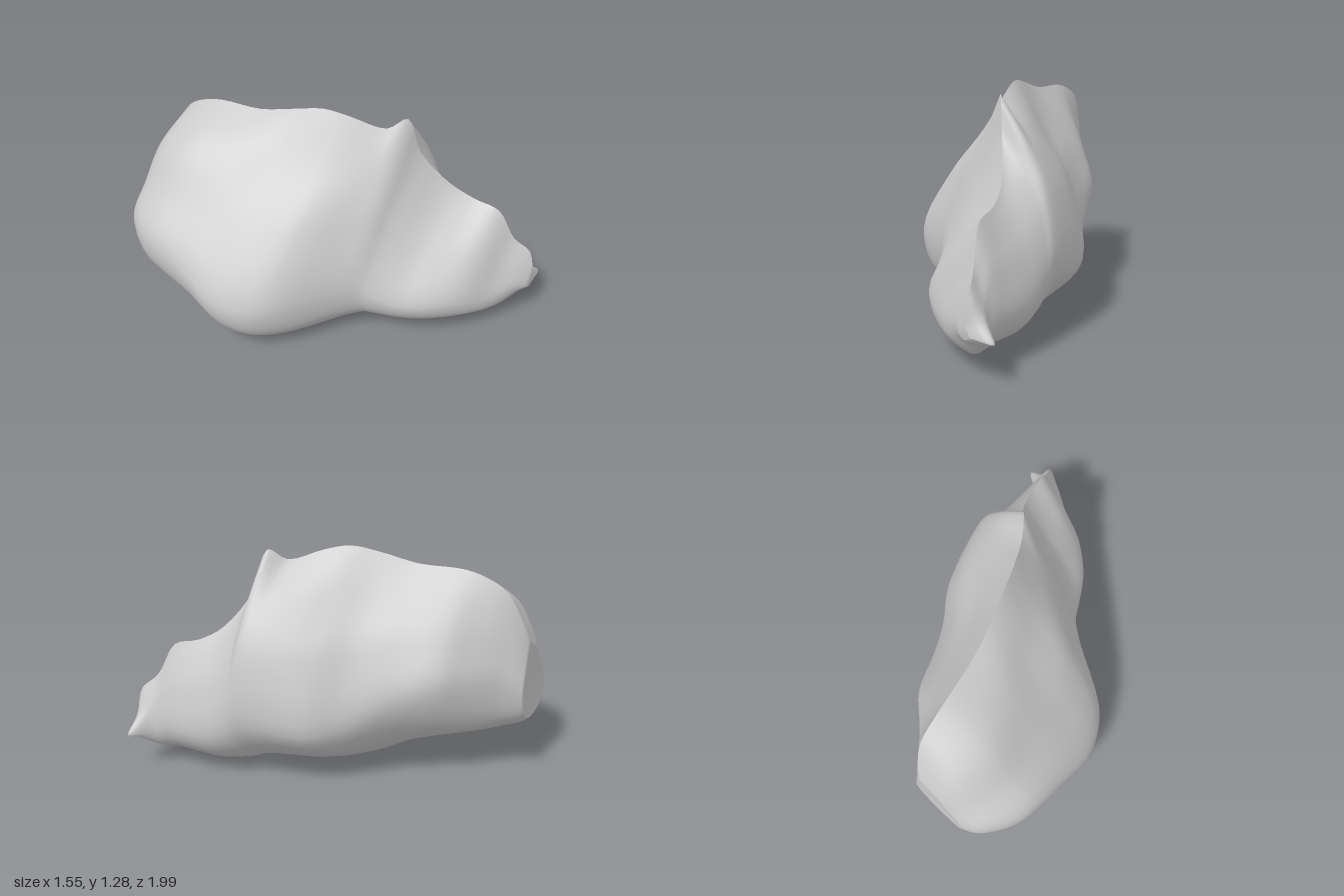
import * as THREE from 'three';

// Stations along z: [z, ridge x, ridge y, left x, right x, underside x, underside y]
const STATIONS = [
  [-0.99, -0.27, 0.80, -0.54, -0.21, -0.36, 0.34],
  [-0.95, -0.23, 0.93, -0.62, -0.18, -0.38, 0.30],
  [-0.87, -0.19, 1.09, -0.69, -0.12, -0.40, 0.26],
  [-0.75, -0.17, 1.16, -0.75, 0.00, -0.40, 0.22],
  [-0.63, -0.15, 1.19, -0.77, 0.13, -0.38, 0.20],
  [-0.40, -0.10, 1.20, -0.77, 0.25, -0.36, 0.13],
  [-0.20, -0.04, 1.25, -0.765, 0.38, -0.36, 0.03],
  [-0.05, 0.02, 1.28, -0.71, 0.50, -0.31, 0.00],
  [0.08, 0.08, 1.255, -0.60, 0.55, -0.16, 0.01],
  [0.25, 0.18, 1.20, -0.31, 0.59, 0.08, 0.04],
  [0.335, 0.25, 1.26, -0.19, 0.605, 0.19, 0.045],
  [0.39, 0.31, 1.04, -0.14, 0.61, 0.26, 0.04],
  [0.52, 0.42, 0.84, -0.06, 0.63, 0.36, 0.04],
  [0.65, 0.48, 0.76, 0.03, 0.64, 0.42, 0.06],
  [0.79, 0.52, 0.72, 0.19, 0.645, 0.48, 0.08],
  [0.88, 0.57, 0.54, 0.37, 0.665, 0.56, 0.10],
  [0.96, 0.62, 0.46, 0.52, 0.77, 0.62, 0.19],
  [0.995, 0.62, 0.37, 0.58, 0.65, 0.61, 0.22],
];

// Cross-section from the ridge, down the left flank, under, and back up to the ridge
function section([z, rx, ry, lx, wx, bx, by]) {
  const h = Math.min(ry, 1.2) - by;
  const at = (x, t) => new THREE.Vector3(x, by + h * t, z);
  const mix = THREE.MathUtils.lerp;
  const rear = THREE.MathUtils.smoothstep(-z, 0.1, 0.7); // fuller left shoulder at the rear
  const hump = Math.exp(-(((z - 0.25) / 0.3) ** 2)); // right shoulder beside the horn
  const spur = z > 0.9; // low pointed spur at the front
  return [
    new THREE.Vector3(rx, ry, z),
    at(mix(rx, lx, 0.27 + 0.19 * rear), 0.84),
    at(mix(rx, lx, 0.64 + 0.1 * rear), 0.61),
    at(lx, 0.28 + 0.1 * rear),
    at(mix(lx, bx, 0.17), 0.1),
    at(bx, 0),
    at(mix(bx, wx, 0.7), 0.1),
    at(wx, spur ? 0.12 : 0.28 + 0.12 * rear),
    at(mix(rx, wx, spur ? 0.42 : 0.74 + 0.16 * hump), spur ? 0.45 : 0.62),
    at(mix(rx, wx, spur ? 0.12 : 0.33 + 0.2 * hump), 0.84),
    new THREE.Vector3(rx, ry, z),
  ];
}

function bodyGeometry(rows, cols) {
  // Lengthwise rails through matching section points
  const rings = STATIONS.map((s) => section(s));
  const rails = rings[0].map((_, k) => new THREE.CatmullRomCurve3(rings.map((r) => r[k])));
  const pos = [];
  const index = [];
  const loops = [];
  for (let i = 0; i <= rows; i++) {
    // The open curve keeps a crease along the ridge
    const loop = new THREE.CatmullRomCurve3(rails.map((r) => r.getPoint(i / rows))).getPoints(cols);
    loops.push(loop);
    loop.forEach((p) => pos.push(p.x, p.y, p.z));
  }
  const n = cols + 1;
  for (let i = 0; i < rows; i++) {
    for (let j = 0; j < cols; j++) {
      const a = i * n + j;
      index.push(a, a + 1, a + n, a + 1, a + n + 1, a + n);
    }
  }
  // Blunt ends: the rear one is slightly hollow
  for (const [row, z] of [[0, -0.965], [rows, 1]]) {
    const c = new THREE.Vector3();
    loops[row].forEach((p) => c.addScaledVector(p, 1 / n));
    const centre = pos.length / 3;
    pos.push(c.x, c.y, z);
    for (let j = 0; j < cols; j++) {
      const a = row * n + j;
      if (row === 0) index.push(centre, a + 1, a);
      else index.push(centre, a, a + 1);
    }
  }
  const g = new THREE.BufferGeometry();
  g.setAttribute('position', new THREE.Float32BufferAttribute(pos, 3));
  g.setIndex(index);
  g.computeVertexNormals();
  return g;
}

export function createModel() {
  const group = new THREE.Group();
  group.name = 'ridgedRock';
  const body = new THREE.Mesh(
    bodyGeometry((STATIONS.length - 1) * 4, 50),
    new THREE.MeshStandardMaterial({ color: 0xcccccc }),
  );
  body.name = 'rockBody';
  group.add(body);
  return group;
}
